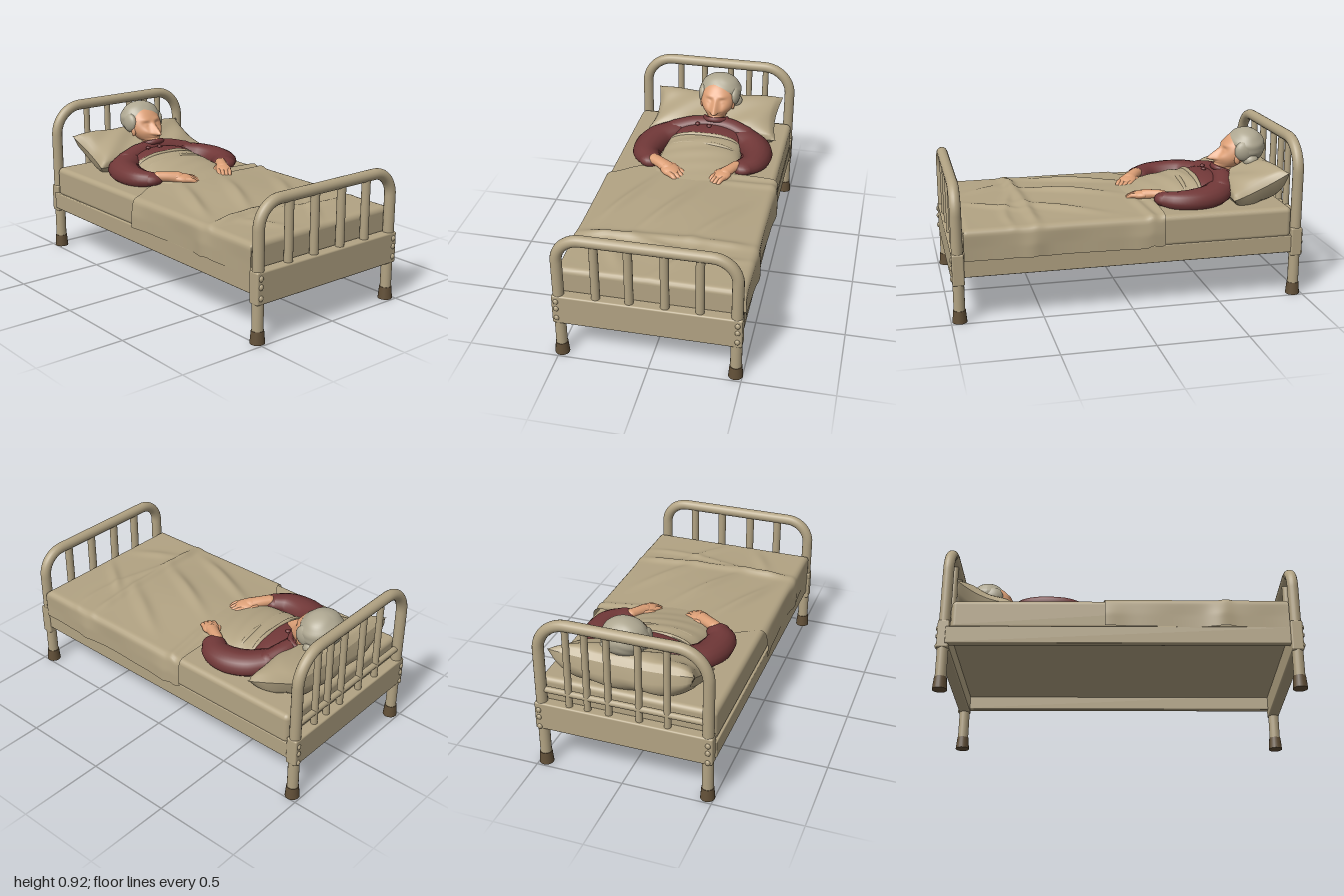
import * as THREE from 'three';
import { RoundedBoxGeometry } from 'three/addons/geometries/RoundedBoxGeometry.js';

const V = (x, y, z) => new THREE.Vector3(x, y, z);
const { smoothstep, lerp, clamp } = THREE.MathUtils;
const ridge = (d, w) => Math.exp(-d * d / (w * w));

function material(name, color, side = THREE.FrontSide) {
  const m = new THREE.MeshStandardMaterial({ color, side });
  m.name = name;
  return m;
}

export function createModel() {
  const model = new THREE.Group();
  model.name = 'sleeperInBed';
  const linen = material('linen', 0xb2a383, THREE.DoubleSide);
  const skin = material('skin', 0xdc9f76);
  const robe = material('robe', 0x713838);
  const hair = material('hair', 0xaea791);
  const rubber = material('rubber', 0x625038);

  function add(name, geometry, mat, pos = [0, 0, 0], parent = model) {
    const mesh = new THREE.Mesh(geometry, mat);
    mesh.name = name;
    mesh.position.set(...pos);
    parent.add(mesh);
    return mesh;
  }
  function ellipsoid(name, mat, pos, radii, parent = model, detail = 12) {
    const g = new THREE.SphereGeometry(1, detail * 2, detail).scale(...radii);
    return add(name, g, mat, pos, parent);
  }
  // Move every vertex of a geometry by a rule
  function reshape(g, fn) {
    const p = g.attributes.position;
    for (let i = 0; i < p.count; i++) p.setXYZ(i, ...fn(p.getX(i), p.getY(i), p.getZ(i)));
    g.computeVertexNormals();
    return g;
  }
  // Sheet from a rule mapping u, v in 0..1 to a point
  const sheet = (name, fn, nu, nv, mat, parent = model) =>
    add(name, reshape(new THREE.PlaneGeometry(1, 1, nu, nv), (x, y) => fn(x + 0.5, 0.5 - y)), mat, [0, 0, 0], parent);
  // Tube with a radius for each point, round ends and a vertical squash
  function limb(name, points, radii, mat, parent = model, squash = 1) {
    const n = 24, sides = 16;
    const curve = new THREE.CatmullRomCurve3(points.map((p) => V(...p)));
    const g = new THREE.TubeGeometry(curve, n, 1, sides);
    const p = g.attributes.position, v = V(0, 0, 0);
    for (let i = 0; i < p.count; i++) {
      const t = Math.floor(i / (sides + 1)) / n, k = t * (radii.length - 1), a = Math.min(Math.floor(k), radii.length - 2);
      const c = curve.getPointAt(t);
      v.fromBufferAttribute(p, i).sub(c).multiplyScalar(lerp(radii[a], radii[a + 1], k - a));
      p.setXYZ(i, c.x + v.x, c.y + v.y * squash, c.z + v.z);
    }
    add(name, g, mat, [0, 0, 0], parent);
    for (const e of [0, points.length - 1])
      ellipsoid(name + 'End', mat, points[e], [radii[e], radii[e] * squash, radii[e]], parent, 9);
  }

  // Bed ends: bent tube, bars, panel, foot caps and bolts
  function bedEnd(name, z, xl, xr, top, corner, bars, barR, panel) {
    const end = new THREE.Group();
    end.name = name;
    model.add(end);
    const path = new THREE.CurvePath(), k = corner * 0.45;
    path.add(new THREE.LineCurve3(V(xl, 0.04, z), V(xl, top - corner, z)));
    path.add(new THREE.CubicBezierCurve3(V(xl, top - corner, z), V(xl, top - k, z), V(xl + k, top, z), V(xl + corner, top, z)));
    path.add(new THREE.LineCurve3(V(xl + corner, top, z), V(xr - corner, top, z)));
    path.add(new THREE.CubicBezierCurve3(V(xr - corner, top, z), V(xr - k, top, z), V(xr, top - k, z), V(xr, top - corner, z)));
    path.add(new THREE.LineCurve3(V(xr, top - corner, z), V(xr, 0.04, z)));
    add('bentTube', new THREE.TubeGeometry(path, 120, 0.031, 18), linen, [0, 0, 0], end);
    bars.forEach((x) => {
      const h = top - panel[1] + 0.02;
      add('bar', new THREE.CylinderGeometry(barR, barR, h, 16), linen, [x, top - h / 2, z], end);
    });
    add('panel', new RoundedBoxGeometry(xr - xl + 0.066, panel[1] - panel[0], 0.066, 3, 0.01), linen,
      [(xl + xr) / 2, (panel[0] + panel[1]) / 2, z], end);
    for (const x of [xl, xr]) {
      add('footCap', new THREE.CylinderGeometry(0.034, 0.04, 0.07, 20), rubber, [x, 0.035, z], end);
      for (const y of [0.25, 0.31, 0.355])
        ellipsoid('bolt', linen, [x + Math.sign(x) * 0.008, y, z + Math.sign(z) * 0.03], [0.015, 0.017, 0.013], end, 8);
    }
    return end;
  }
  bedEnd('footboard', 0.953, -0.488, 0.464, 0.738, 0.135, [-0.285, -0.105, 0.085, 0.27], 0.024, [0.213, 0.39]);
  const head = bedEnd('headboard', -0.953, -0.465, 0.464, 0.887, 0.17, [-0.245, -0.09, 0.08, 0.2, 0.305], 0.019, [0.235, 0.4]);
  add('lowerRail', new THREE.CylinderGeometry(0.018, 0.018, 0.93, 14).rotateZ(Math.PI / 2), linen, [0, 0.475, -0.953], head);

  // Open frame and mattress
  for (const s of [-1, 1])
    add('sideRail', new RoundedBoxGeometry(0.04, 0.1, 1.88, 2, 0.006), linen, [s * 0.478 - 0.008, 0.307, 0]);
  add('bedBase', new THREE.BoxGeometry(0.95, 0.03, 1.88), linen, [-0.008, 0.35, 0]);
  add('mattress', new RoundedBoxGeometry(0.985, 0.18, 1.84, 5, 0.03), linen, [-0.003, 0.432, 0]);

  // Blanket draped over the sides and foot
  const drape = (s, half, r) => {
    const over = Math.max(0, Math.abs(s) - half), a = Math.min(over / r, Math.PI / 2);
    return [Math.sign(s) * (Math.min(Math.abs(s), half) + r * Math.sin(a)), r * (1 - Math.cos(a)) + Math.max(0, over - r * Math.PI / 2)];
  };
  function coverHeight(x, z) {
    const inner = 1 - smoothstep(Math.abs(x), 0.34, 0.49);
    const fold = (height, x0, slope, z0, width, length) => height * ridge(x - x0 + slope * (z - z0), width) * ridge(z - z0, length);
    let h = 0.523 + 0.03 * ridge(x, 0.32) * (1 - smoothstep(z, 0.15, 0.9));
    h += (0.3 + 0.7 * inner) * (0.018 * ridge(z - 0.55 + 0.05 * x, 0.03) + 0.01 * ridge(z - 0.62 - 0.05 * Math.sin(5 * x), 0.025));
    h += inner * (fold(0.024, -0.3, 0.45, 0.2, 0.04, 0.25) + fold(0.022, -0.05, 0.5, 0.28, 0.04, 0.22)
      + fold(0.018, 0.25, 0.6, 0.35, 0.045, 0.2) + fold(0.014, 0.12, 0.7, 0.72, 0.035, 0.14) + fold(0.012, -0.25, -0.5, 0.72, 0.04, 0.12));
    return h + 0.012 * smoothstep(x, 0.1, 0.3) * (ridge(z + 0.13 + 0.12 * x, 0.025) + ridge(z + 0.05 + 0.12 * x, 0.025));
  }
  sheet('blanket', (u, v) => {
    const [x, dx] = drape(lerp(-0.665, 0.665, u), 0.475, 0.032);
    const start = -0.18 + 0.1 * smoothstep(-x, 0.3, 0.5);
    const [z, dz] = drape(lerp(start, 1.03, v), 0.89, 0.03);
    const hang = clamp(dx / 0.1, 0, 1);
    const wave = 0.004 * Math.sin(z * 13) + 0.02 * ridge(z + 0.08, 0.1) + 0.012 * ridge(z - 0.55, 0.06);
    return [x + Math.sign(x) * hang * wave - 0.003, Math.max(coverHeight(x, z) - Math.max(dx, dz), 0.338), z];
  }, 100, 110, linen);

  // Blanket rising over the chest
  const chestTop = (z) => lerp(0.635, 0.545, smoothstep(z, -0.47, 0.05));
  sheet('chestBlanket', (u, v) => {
    const a = Math.PI * (1 - u), z0 = lerp(-0.47, 0.2, v), z = z0 - 0.02 * Math.cos(a) ** 2;
    const w = 0.235 + 0.05 * v, rise = Math.max(0, Math.sin(a));
    const y = 0.5 + (chestTop(z0) - 0.5) * rise ** 0.6 + 0.005 * Math.sin(z0 * 60 + 3 * Math.cos(a)) * rise * (1 - v) ** 2;
    return [0.01 + w * Math.cos(a), y, z];
  }, 48, 50, linen);
  const hem = (z, lift) => [-0.225, -0.18, -0.09, 0.01, 0.11, 0.2, 0.245].map((x, i) => [x, 0.5 + lift * [0.25, 0.72, 0.96, 1, 0.96, 0.72, 0.25][i], z]);
  const hemRadii = [0.01, 0.013, 0.014, 0.013, 0.015, 0.013, 0.01];
  limb('blanketHem', hem(-0.462, 0.128), hemRadii, linen);
  limb('blanketCrease', hem(-0.375, 0.115), hemRadii, linen);

  // Pillow with pinched corners, fuller underneath where it rests
  const pillow = new THREE.Group();
  pillow.name = 'pillow';
  pillow.position.set(0.025, 0.615, -0.765);
  pillow.rotation.x = 0.42;
  model.add(pillow);
  for (const [s, depth] of [[1, 0.08], [-1, 0.13]])
    sheet('pillowSide', (u, v) => {
      const a = 2 * u - 1, b = 2 * v - 1;
      const puff = Math.sqrt(Math.max(0, (1 - a ** 4) * (1 - b ** 4)));
      const crease = 0.006 * Math.sin(9 * a + 5 * b) * puff;
      return [0.405 * a * (0.93 + 0.07 * b * b), s * depth * puff + crease + 0.02 * a * a * b * b, 0.175 * b * (0.9 + 0.1 * a * a)];
    }, 40, 30, linen, pillow);

  // Robe: torso, collar, buttons and wide soft sleeves
  ellipsoid('torso', robe, [0.02, 0.545, -0.53], [0.25, 0.1, 0.15], model, 20);
  limb('shoulders', [[-0.2, 0.575, -0.585], [-0.08, 0.602, -0.62], [0.04, 0.61, -0.63], [0.14, 0.602, -0.62], [0.24, 0.575, -0.585]],
    [0.066, 0.062, 0.055, 0.062, 0.066], robe);
  const collar = add('collar', new THREE.TorusGeometry(0.068, 0.016, 12, 32), robe, [0.04, 0.645, -0.66]);
  collar.rotation.x = 1.25;
  for (const [x, z] of [[-0.055, -0.56], [0.02, -0.545]])
    ellipsoid('button', robe, [x, 0.648, z], [0.015, 0.01, 0.015]);
  const sleeveRadii = [0.085, 0.096, 0.098, 0.088, 0.068];
  limb('rightSleeve', [[-0.2, 0.58, -0.575], [-0.285, 0.567, -0.495], [-0.318, 0.56, -0.39], [-0.315, 0.558, -0.29], [-0.277, 0.558, -0.225]],
    sleeveRadii, robe, model, 0.6);
  limb('leftSleeve', [[0.235, 0.58, -0.575], [0.31, 0.567, -0.495], [0.343, 0.56, -0.39], [0.33, 0.558, -0.3], [0.285, 0.558, -0.24]],
    sleeveRadii, robe, model, 0.6);

  // Hands: fingers run along local +z, thumb on the given side
  function hand(name, pos, turn, thumb, size) {
    const g = new THREE.Group();
    g.name = name;
    g.position.set(...pos);
    g.rotation.set(0.12, turn, 0, 'YXZ');
    g.scale.setScalar(size);
    model.add(g);
    limb('wrist', [[0, 0, -0.03], [0, 0.004, 0.02], [0, 0.004, 0.07]], [0.034, 0.034, 0.04], skin, g, 0.75);
    ellipsoid('palm', skin, [0, 0.002, 0.095], [0.05, 0.026, 0.062], g);
    for (let i = 0; i < 4; i++) {
      const x = (i - 1.5) * 0.022, l = [0.065, 0.08, 0.076, 0.06][thumb > 0 ? 3 - i : i];
      limb('finger', [[x, 0.004, 0.115], [x, 0.004, 0.115 + l * 0.5], [x * 0.95, -0.014, 0.115 + l]], [0.0145, 0.0135, 0.0105], skin, g);
    }
    limb('thumb', [[thumb * 0.028, -0.002, 0.05], [thumb * 0.047, -0.004, 0.09], [thumb * 0.045, -0.012, 0.14]], [0.018, 0.016, 0.011], skin, g);
  }
  hand('rightHand', [-0.215, 0.572, -0.18], 0.96, 1, 1.12);
  hand('leftHand', [0.23, 0.572, -0.2], -0.56, -1, 0.96);

  // Head tilted back, face features raised from one smooth form
  const cx = 0.04;
  limb('neck', [[cx, 0.59, -0.69], [cx, 0.64, -0.685], [cx, 0.7, -0.69]], [0.06, 0.058, 0.066], skin);
  add('face', reshape(new THREE.SphereGeometry(1, 96, 64), (nx, ny, nz) => {
    const x = 0.103 * nx * (1 - 0.12 * smoothstep(-ny, 0.2, 1)), y = 0.757 + 0.115 * ny, ax = Math.abs(x);
    let z = -0.72 + 0.088 * nz - 0.3 * (y - 0.757);
    if (nz > 0) {
      const nose = smoothstep(y, 0.7, 0.716) * (1 - smoothstep(y, 0.716, 0.8));
      const lift = 0.06 * nose * ridge(x, 0.012 + 0.012 * nose)
        + 0.03 * ridge(x, 0.05) * ridge(y - 0.69, 0.03) - 0.01 * ridge(x, 0.035) * ridge(y - 0.688, 0.006)
        + 0.03 * ridge(x, 0.04) * ridge(y - 0.662, 0.018)
        + 0.013 * ridge(ax - 0.05, 0.026) * ridge(y - 0.725, 0.024)
        - 0.01 * ridge(ax - 0.04, 0.024) * ridge(y - 0.77, 0.016) + 0.006 * ridge(ax - 0.042, 0.014) * ridge(y - 0.766, 0.008)
        + 0.006 * ridge(ax - 0.04, 0.03) * ridge(y - 0.797, 0.012);
      z += lift * smoothstep(nz, 0, 0.4);
    }
    return [cx + x, y, z];
  }), skin);
  for (const s of [-1, 1]) {
    ellipsoid('ear', skin, [cx + s * 0.097, 0.722, -0.71], [0.012, 0.028, 0.018]);
    ellipsoid('sideHair', hair, [cx + 0.004 + s * 0.098, 0.772, -0.75], [0.032, 0.06, 0.058]);
  }
  // Hair with soft combed waves and a bun
  add('hairCap', reshape(new THREE.SphereGeometry(1, 48, 32), (x, y, z) => {
    const k = 1 + 0.012 * Math.sin(14 * y + 6 * Math.abs(x));
    return [0.13 * x * k, 0.105 * y * k, 0.113 * z * k];
  }), hair, [cx + 0.007, 0.787, -0.787]);
  ellipsoid('hairBun', hair, [cx + 0.1, 0.715, -0.79], [0.045, 0.04, 0.045]);

  return model;
}
